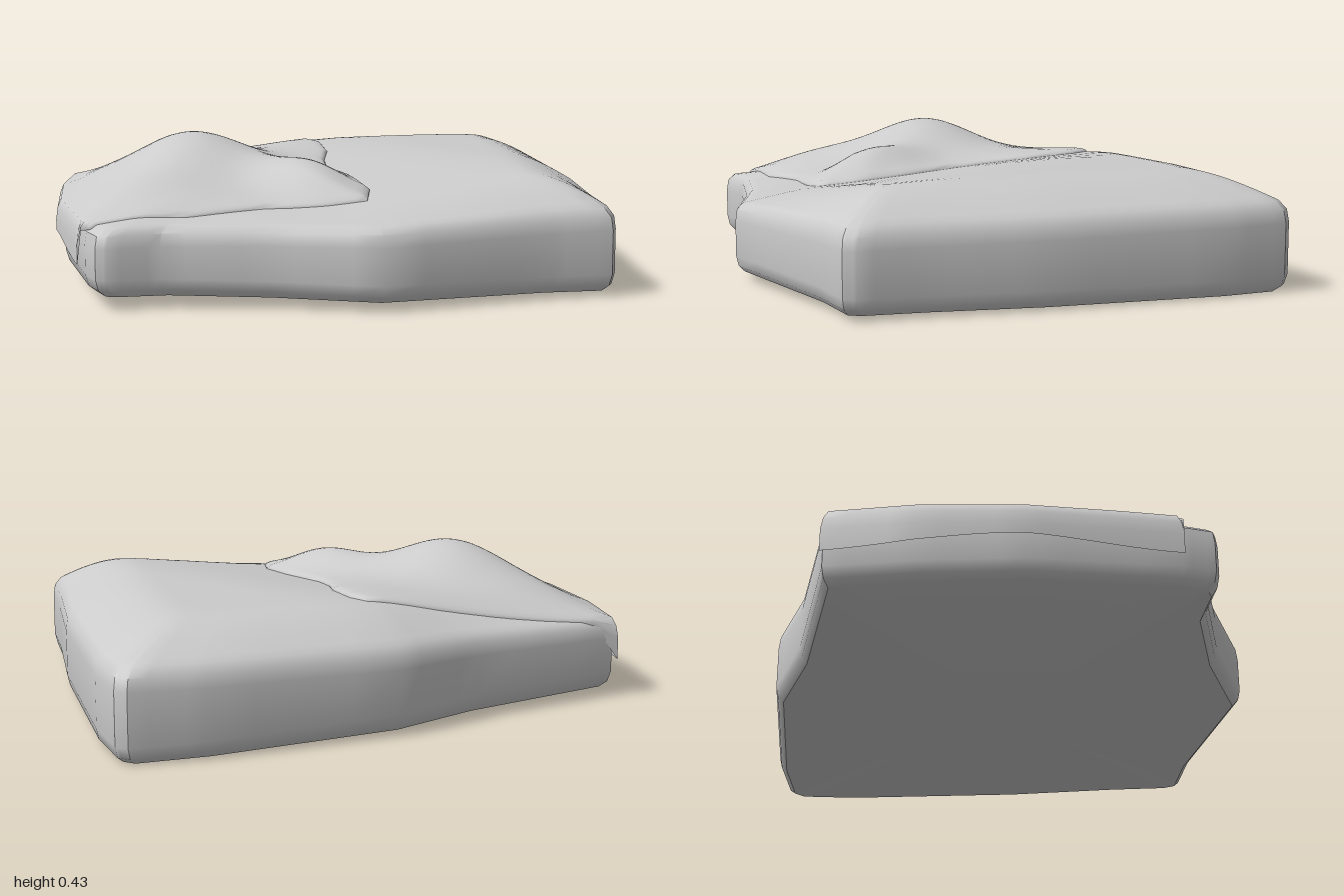
import * as THREE from 'three';
import { mergeVertices, toCreasedNormals } from 'three/addons/utils/BufferGeometryUtils.js';

// Plan outlines as [x, z], both running clockwise seen from above
const slabOutline = [
  [-0.26, -0.99], [-0.22, -1], [-0.06, -0.92], [0.42, -0.6], [0.7, -0.38], [0.855, -0.27],
  [0.875, -0.235], [0.79, -0.07], [0.61, 0.42], [0.36, 0.62], [0.15, 0.84], [0.085, 0.975],
  [0.06, 0.995], [-0.03, 0.97], [-0.42, 0.79], [-0.66, 0.63], [-0.865, 0.47], [-0.7, 0],
  [-0.64, -0.29], [-0.38, -0.81],
];
const drapeOutline = [
  [-0.88, 0.48], [-0.7, 0.22], [-0.53, -0.03], [-0.42, -0.18], [-0.35, -0.17], [-0.22, -0.09],
  [-0.13, 0], [-0.03, 0.07], [0.15, 0.12], [0.3, 0.19], [0.39, 0.28], [0.33, 0.38], [0.22, 0.52],
  [0.14, 0.72], [0.05, 0.86], [-0.01, 0.95], [-0.04, 0.99], [-0.22, 0.91], [-0.44, 0.81], [-0.69, 0.645],
];
const drapeFront = 16; // first outline corner of the edge that hangs over the slab

const { smoothstep, lerp } = THREE.MathUtils;

function subdivide(points, n) {
  return points.flatMap(([x, z], i) => {
    const [x2, z2] = points[(i + 1) % points.length];
    return Array.from({ length: n }, (_, k) => [lerp(x, x2, k / n), lerp(z, z2, k / n)]);
  });
}

// How far a point lies from the middle (0) to the slab's outline (1),
// measured against the one edge its direction points at
function rimFraction(x, z) {
  for (let i = 0; i < slabOutline.length; i++) {
    const [ax, az] = slabOutline[i];
    const [bx, bz] = slabOutline[(i + 1) % slabOutline.length];
    const facing = ax * z - az * x >= -1e-9 && x * bz - z * bx >= -1e-9;
    if (facing) return Math.min(1, (x * (bz - az) - z * (bx - ax)) / (ax * bz - az * bx));
  }
  return 0;
}

const slabBottom = (z) => 0.022 + 0.02 * z;

// Gently sloping top that falls off in a soft bevel towards the rim
function slabTop(x, z) {
  const rim = 0.243 - 0.015 * z;
  const plateau = 0.265 + 0.09 * (1 - smoothstep(z, -0.35, 0.5));
  const inward = Math.min(1, (1 - rimFraction(x, z)) / 0.36);
  return lerp(rim, plateau, Math.sin(inward * Math.PI / 2));
}

const bump = (x, z, cx, cz, rx, rz) => Math.exp(-(((x - cx) / rx) ** 2) - ((z - cz) / rz) ** 2);

// Top of the cover: slab height plus soft mounds; t is 1 at its edge
function drapeTop(x, z, t) {
  const mounds = 0.135 * bump(x, z, -0.29, 0.41, 0.24, 0.22)
    + 0.07 * bump(x, z, 0.13, 0.28, 0.19, 0.13)
    + 0.03 * bump(x, z, -0.12, 0.72, 0.16, 0.2)
    + 0.018 * bump(x, z, -0.6, 0.45, 0.15, 0.16);
  return slabTop(x, z) + 0.01 + (mounds + 0.018) * (1 - t ** 5);
}

// Closed rings of [x, y, z] joined into a skin, listed from below upwards
function skin(rings, crease) {
  const n = rings[0].length;
  const index = [];
  for (let r = 0; r < rings.length - 1; r++) {
    for (let j = 0; j < n; j++) {
      const k = (j + 1) % n;
      const a = r * n + j, b = r * n + k;
      index.push(a, a + n, b, b, a + n, b + n);
    }
  }
  const geo = new THREE.BufferGeometry();
  geo.setAttribute('position', new THREE.Float32BufferAttribute(rings.flat(2), 3));
  geo.setIndex(index);
  return toCreasedNormals(mergeVertices(geo), crease);
}

function makeSlab() {
  const outline = subdivide(slabOutline, 4);
  const ring = (s, height) => outline.map(([x, z]) => [x * s, height(x * s, z * s), z * s]);
  const rings = [
    ring(0, (x, z) => slabBottom(z)),
    ring(0.965, (x, z) => slabBottom(z)),
    ring(0.99, (x, z) => slabBottom(z) + 0.018),
    ring(1, (x, z) => slabBottom(z) + 0.05),
    ring(1, (x, z) => slabTop(x, z) - 0.05),
    ring(0.993, (x, z) => slabTop(x, z) - 0.015),
  ];
  // Domed top
  for (let i = 1; i <= 30; i++) rings.push(ring(1 - i / 30, slabTop));
  return skin(rings, 0.7);
}

function makeDrape() {
  const sub = 4;
  const outline = subdivide(drapeOutline, sub);
  const [cx, cz] = [-0.22, 0.42];
  const ring = (t, height) => outline.map(([x, z], i) => {
    const px = lerp(cx, x, t), pz = lerp(cz, z, t);
    return [px, height(px, pz, i), pz];
  });
  const hangs = (i) => i >= drapeFront * sub || i === 0;
  // Front edge hangs down the side, the other edges tuck into the slab
  const hem = (x, z, i) => hangs(i)
    ? 0.12 + 0.03 * Math.sin(Math.PI * smoothstep(x, -0.88, -0.04))
    : slabTop(x, z) - 0.01;
  const rings = [
    ring(1, hem),
    ring(1, (x, z, i) => slabTop(x, z) + (hangs(i) ? -0.05 : 0.002)),
    ring(0.988, (x, z, i) => slabTop(x, z) + (hangs(i) ? -0.012 : 0.008)),
  ];
  for (let i = 1; i <= 28; i++) {
    const t = 1 - i / 28;
    rings.push(ring(t, (x, z) => drapeTop(x, z, t)));
  }
  return skin(rings, 1.1);
}

export function createModel() {
  const group = new THREE.Group();
  const material = new THREE.MeshStandardMaterial({ color: 0xcccccc });
  const sheet = new THREE.MeshStandardMaterial({ color: 0xcccccc, side: THREE.DoubleSide });

  const slab = new THREE.Mesh(makeSlab(), material);
  slab.name = 'slab';
  const drape = new THREE.Mesh(makeDrape(), sheet);
  drape.name = 'drapedCover';
  group.add(slab, drape);
  return group;
}
